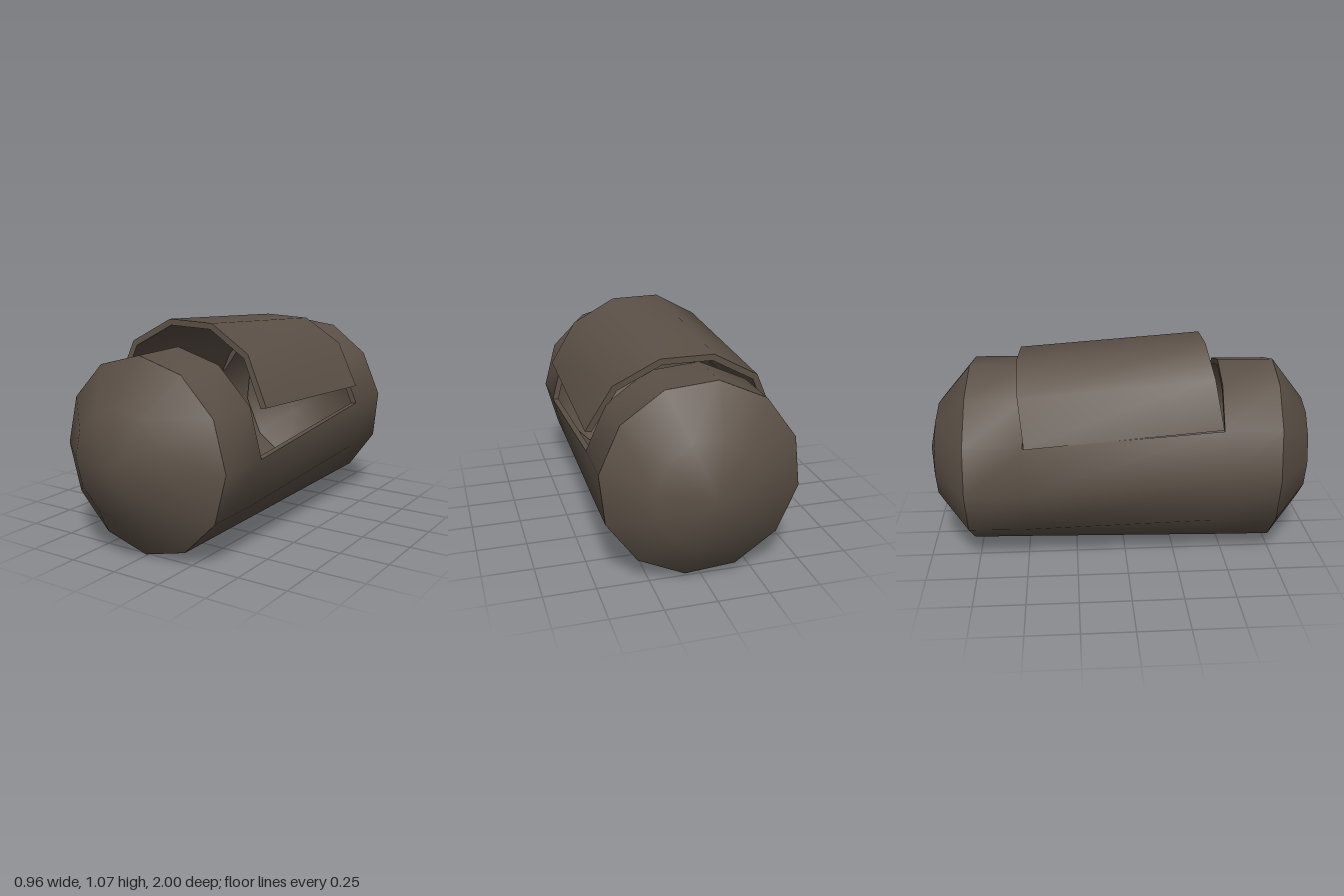
import * as THREE from 'three';
import { toCreasedNormals } from 'three/addons/utils/BufferGeometryUtils.js';

const SIDES = 12;
const R = 0.475;
const TWIST = THREE.MathUtils.degToRad(9);
const WALL = 0.935; // inner radius as a share of the outer radius

// Point on the slightly crooked, tilted canister
function canisterPoint(step, radius, z, twist) {
  const a = (step / SIDES) * Math.PI * 2 + twist;
  const x = Math.cos(a) * radius;
  const y = Math.sin(a) * radius;
  return [x - 0.012 * z, 0.485 - 0.012 * z + y, z + 0.045 * x + 0.015 * y];
}

function finish(positions, name, material) {
  const geometry = new THREE.BufferGeometry();
  geometry.setAttribute('position', new THREE.Float32BufferAttribute(positions, 3));
  const mesh = new THREE.Mesh(toCreasedNormals(geometry, 0.75), material);
  mesh.name = name;
  return mesh;
}

function quad(out, a, b, c, d) {
  out.push(...a, ...b, ...c, ...a, ...c, ...d);
}

// Thick wall over a grid of cells; rims close it wherever a cell is missing
function shell(point, nu, nv, present) {
  const out = [];
  for (let v = 0; v < nv; v++) {
    for (let u = 0; u < nu; u++) {
      if (!present(u, v)) continue;
      const corners = [[u, v], [u, v + 1], [u + 1, v + 1], [u + 1, v]];
      const o = corners.map(([i, j]) => point(i, j, false));
      const n = corners.map(([i, j]) => point(i, j, true));
      quad(out, ...o);
      quad(out, n[3], n[2], n[1], n[0]);
      const neighbours = [[u - 1, v], [u, v + 1], [u + 1, v], [u, v - 1]];
      neighbours.forEach(([i, j], k) => {
        if (present(i, j)) return;
        const m = (k + 1) % 4;
        quad(out, o[m], o[k], n[k], n[m]);
      });
    }
  }
  return out;
}

// Shallow domed end, dir = 1 for front and -1 for back
function dome(dir) {
  const out = [];
  const sphere = 0.605;
  const full = Math.asin(R / sphere);
  const twist = dir > 0 ? 0 : TWIST;
  const at = (u, ring) => {
    const t = full * (1 - ring / 2);
    return canisterPoint(u, sphere * Math.sin(t), dir * (1 - sphere * (1 - Math.cos(t))), twist);
  };
  for (let u = 0; u < SIDES; u++) {
    const [p, q] = dir > 0 ? [u, u + 1] : [u + 1, u];
    quad(out, at(p, 0), at(q, 0), at(q, 1), at(p, 1));
    out.push(...at(p, 1), ...at(q, 1), ...at(0, 2));
  }
  return out;
}

export function createModel() {
  const model = new THREE.Group();
  model.name = 'canister';
  const brown = new THREE.MeshStandardMaterial({ color: 0x5c5147, side: THREE.DoubleSide });
  brown.name = 'dark brown';

  // Barrel with five of its twelve panels cut away in the middle
  const rows = [0.77, 0.485, -0.485, -0.77];
  const wrap = (u) => (u + SIDES) % SIDES;
  const barrel = shell(
    (u, v, inner) => canisterPoint(u, inner ? R * WALL : R, rows[v], v > 1 ? TWIST : 0),
    SIDES, 3,
    (u, v) => v >= 0 && v < 3 && !(v === 1 && wrap(u) < 5)
  );
  model.add(finish(barrel, 'barrel', brown));

  // Domed ends
  model.add(finish(dome(1), 'frontDome', brown));
  model.add(finish(dome(-1), 'backDome', brown));

  // Raised hatch, attached along the barrel's right edge
  const ends = [
    { cy: 0.61, z: 0.47, lean: 0.17, skew: 0,
      pts: [[0.47, 0.71], [0.345, 0.94], [0.13, 1.065], [-0.115, 1.07], [-0.33, 0.95], [-0.41, 0.72]] },
    { cy: 0.545, z: -0.475, lean: 0.14, skew: 0.045,
      pts: [[0.475, 0.66], [0.35, 0.88], [0.13, 1.0], [-0.125, 1.005], [-0.345, 0.885], [-0.447, 0.66]] },
  ];
  const hatch = shell(
    (u, v, inner) => {
      const e = ends[v];
      const [px, py] = e.pts[u];
      const s = inner ? WALL : 1;
      const z = e.z - e.lean * (py - e.pts[0][1]) + e.skew * px;
      return [0.005 + (px - 0.005) * s, e.cy + (py - e.cy) * s, z];
    },
    5, 1,
    (u, v) => v === 0 && u >= 0 && u < 5
  );
  model.add(finish(hatch, 'hatch', brown));

  return model;
}
